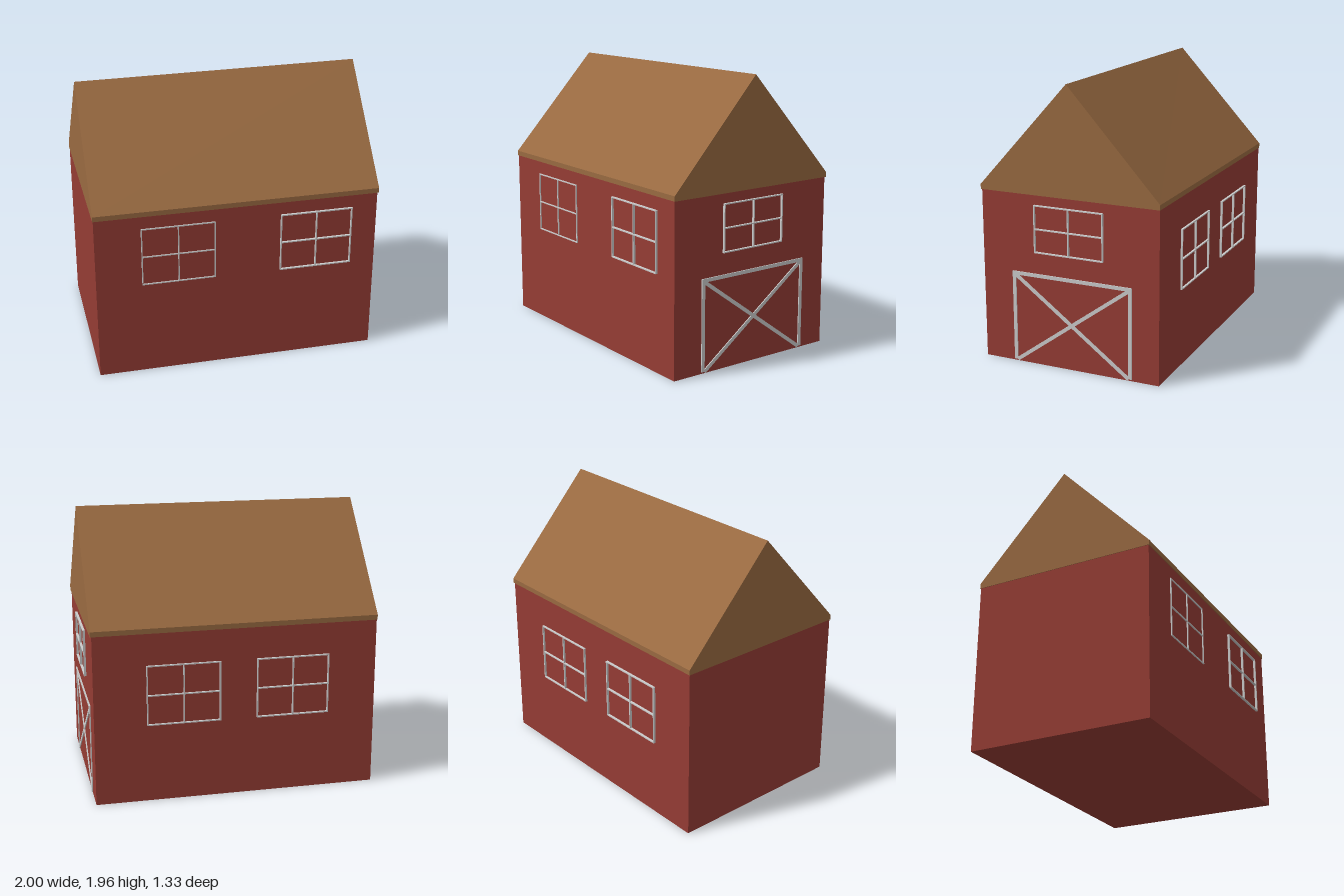
import * as THREE from 'three';

const material = (color) => new THREE.MeshStandardMaterial({ color, flatShading: true });
const red = material(0x953c34), brown = material(0x996a41), grey = material(0xcccccc);

function bar(parent, name, w, h, d, x, y, angle = 0) {
  const mesh = new THREE.Mesh(new THREE.BoxGeometry(w, h, d), grey);
  mesh.name = name;
  mesh.position.set(x, y, 0);
  mesh.rotation.z = angle;
  parent.add(mesh);
}

// Open lattice of three uprights and three rails, facing +z
function makeWindow(name, w, h, depth) {
  const group = new THREE.Group();
  group.name = name;
  const t = 0.008;
  for (const s of [-1, 0, 1]) {
    bar(group, 'windowUpright', t, h, depth, s * (w - t) / 2, 0);
    bar(group, 'windowRail', w, t, depth, 0, s * (h - t) / 2);
  }
  return group;
}

// Door posts, lintel and crossed braces, facing +z
function makeDoor() {
  const group = new THREE.Group();
  group.name = 'barnDoor';
  const w = 0.885, h = 0.64, t = 0.025, d = 0.016;
  for (const s of [-1, 1]) {
    bar(group, 'doorPost', t, h, d, s * (w - t) / 2, h / 2);
    const dx = w - 2 * t, dy = h - t;
    bar(group, 'doorBrace', Math.hypot(dx, dy), t, d, 0, dy / 2, s * Math.atan2(dy, dx));
  }
  bar(group, 'doorLintel', w, t, d, 0, h - t / 2);
  return group;
}

export function createModel() {
  const model = new THREE.Group();
  model.name = 'barn';

  // Walls
  const walls = new THREE.Mesh(new THREE.BoxGeometry(1.977, 1.2, 1.3), red);
  walls.name = 'walls';
  walls.position.set(-0.0075, 0.6, 0);
  model.add(walls);

  // Solid gable roof with a short vertical eave, ridge rising slightly to +x
  const profile = new THREE.Shape([[-0.655, 1.2], [0.655, 1.2], [0.655, 1.235], [0, 1.955], [-0.655, 1.235]]
    .map(([x, y]) => new THREE.Vector2(x, y)));
  const roofGeometry = new THREE.ExtrudeGeometry(profile, { depth: 1.99, bevelEnabled: false });
  roofGeometry.rotateY(Math.PI / 2).translate(-1, 0, 0);
  const p = roofGeometry.attributes.position;
  for (let i = 0; i < p.count; i++) {
    if (p.getY(i) > 1.9 && p.getX(i) < 0) p.setY(i, 1.945);
  }
  roofGeometry.computeVertexNormals();
  const roof = new THREE.Mesh(roofGeometry, brown);
  roof.name = 'roof';
  model.add(roof);

  // Long-side windows: name, x, y, z
  for (const [name, x, y, z] of [
    ['frontWindowRight', -0.425, 0.897, 0.648],
    ['frontWindowLeft', 0.545, 0.897, 0.656],
    ['backWindowRight', -0.4, 0.765, -0.656],
    ['backWindowLeft', 0.365, 0.765, -0.654],
  ]) {
    const win = makeWindow(name, 0.512, 0.425, 0.02);
    win.position.set(x, y, z);
    model.add(win);
  }

  // Gable window and door on the +x end
  const gableWindow = makeWindow('gableWindow', 0.508, 0.332, 0.02);
  gableWindow.position.set(0.987, 0.967, 0);
  const door = makeDoor();
  door.position.set(0.98, 0.012, -0.015);
  for (const part of [gableWindow, door]) {
    part.rotation.y = Math.PI / 2;
    model.add(part);
  }
  return model;
}
